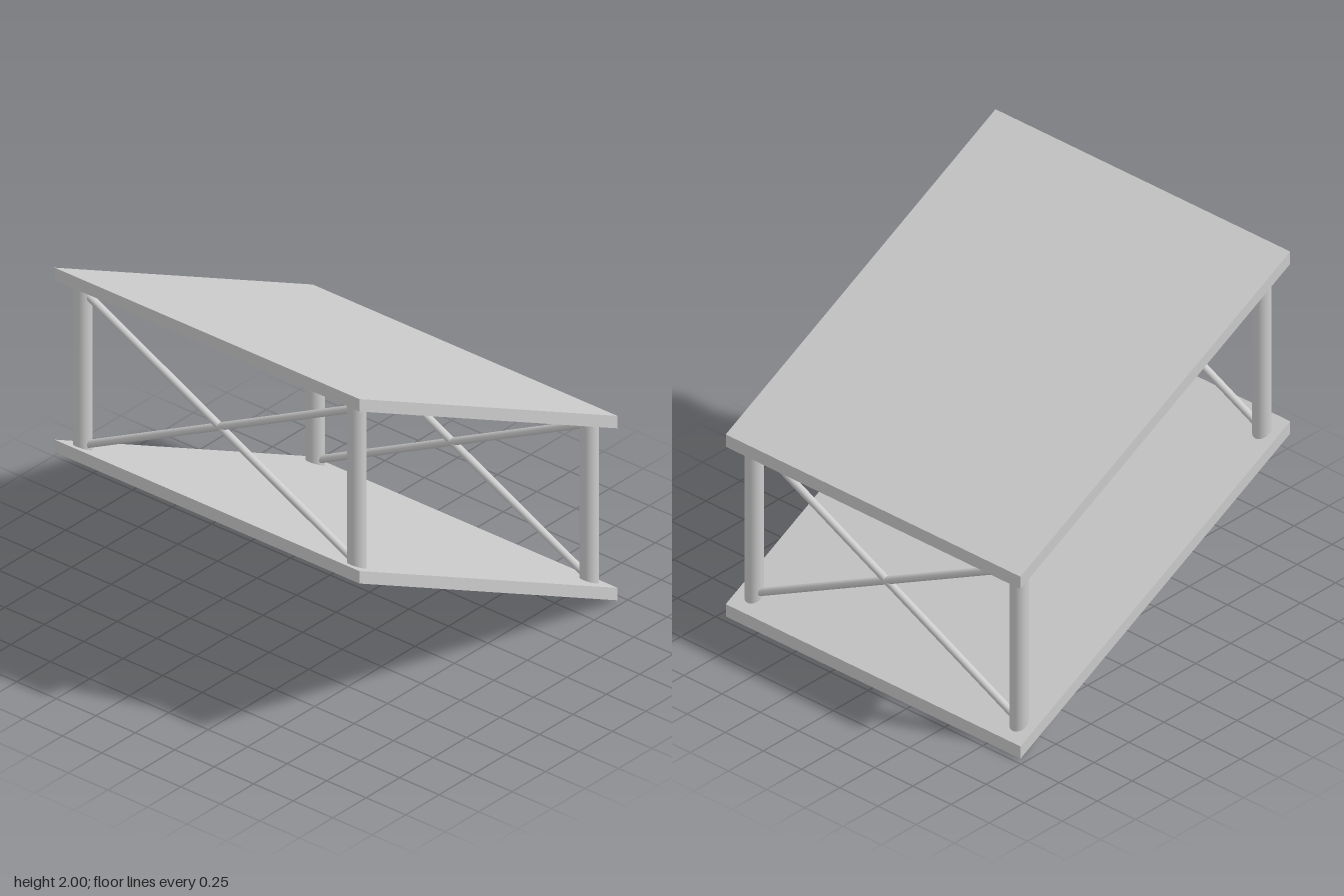
import * as THREE from 'three';

const HALF = 0.965, SLOPE = -0.5, THICK = 0.07, GAP = 0.965, POST = 0.868;
const slabY = (x) => 0.5175 + SLOPE * x; // mid-height of the lower slab

export function createModel() {
  const model = new THREE.Group();
  model.name = 'slopedFrame';
  const material = new THREE.MeshStandardMaterial({ color: 0xcccccc });

  const add = (name, geometry) => {
    const mesh = new THREE.Mesh(geometry, material);
    mesh.name = name;
    model.add(mesh);
    return mesh;
  };

  // Round bar between two points
  const bar = (name, a, b, radius) => {
    const dir = b.clone().sub(a);
    const mesh = add(name, new THREE.CylinderGeometry(radius, radius, dir.length(), 32));
    mesh.position.copy(a).add(b).multiplyScalar(0.5);
    mesh.quaternion.setFromUnitVectors(new THREE.Vector3(0, 1, 0), dir.normalize());
  };

  // Sheared slabs with vertical end faces
  const slab = (name, y) => {
    const geometry = new THREE.BoxGeometry(HALF * 2, THICK, HALF * 2);
    geometry.applyMatrix4(new THREE.Matrix4().set(
      1, 0, 0, 0,
      SLOPE, 1, 0, y,
      0, 0, 1, 0,
      0, 0, 0, 1));
    geometry.computeVertexNormals();
    add(name, geometry);
  };
  slab('lowerSlab', slabY(0));
  slab('upperSlab', slabY(0) + GAP);

  // Posts and crossed braces at each end
  for (const [side, x] of [['left', POST], ['right', -POST]]) {
    const base = slabY(x), middle = base + GAP / 2;
    for (const s of [1, -1]) {
      const end = s > 0 ? 'Front' : 'Back';
      bar(`${side}${end}Post`,
        new THREE.Vector3(x, base, s * POST),
        new THREE.Vector3(x, base + GAP, s * POST), 0.047);
      bar(`${side}${end}Brace`,
        new THREE.Vector3(x, middle - POST / 2, s * POST),
        new THREE.Vector3(x, middle + POST / 2, -s * POST), 0.02);
    }
  }
  return model;
}
